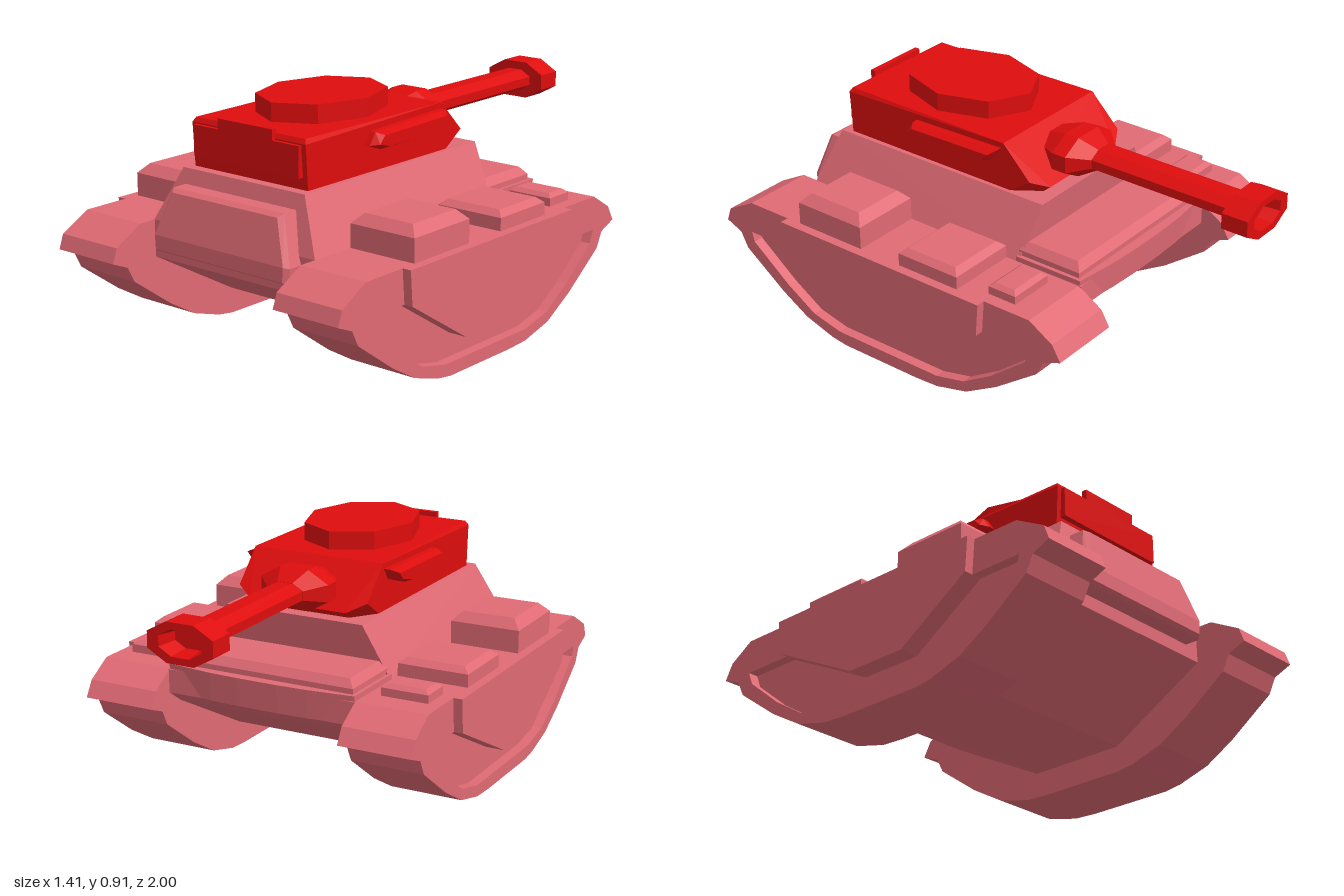
import * as THREE from 'three';
import { ConvexGeometry } from 'three/addons/geometries/ConvexGeometry.js';

export function createModel() {
  const pink = new THREE.MeshStandardMaterial({ color: 0xe06a74 });
  pink.name = 'hull pink';
  const red = new THREE.MeshStandardMaterial({ color: 0xde0d0d });
  red.name = 'turret red';
  const model = new THREE.Group();
  model.name = 'tank';

  // Adds a mesh with faceted normals
  function add(name, geo, mat) {
    const g = geo.index ? geo.toNonIndexed() : geo;
    g.computeVertexNormals();
    const mesh = new THREE.Mesh(g, mat);
    mesh.name = name;
    model.add(mesh);
    return mesh;
  }
  const hull = (pts) => new ConvexGeometry(pts.map((p) => new THREE.Vector3(...p)));
  // Points on both sides of x = 0
  const both = (pts) => pts.flatMap(([x, y, z]) => [[x, y, z], [-x, y, z]]);
  // Block whose rectangular top is inset, with a short straight wall below the bevel
  function block(x0, x1, z0, z1, y0, y1, bevel, wall) {
    const pts = [];
    for (const [y, i] of [[y0, 0], [y0 + (y1 - y0) * wall, 0], [y1, bevel]])
      for (const x of [x0 + i, x1 - i]) for (const z of [z0 + i, z1 - i]) pts.push([x, y, z]);
    return hull(pts);
  }
  // Extrudes a (z, y) side profile between two x positions
  function sideExtrude(profile, xa, xb, hole) {
    const vec = (l) => l.map(([z, y]) => new THREE.Vector2(z, y));
    const shape = new THREE.Shape(vec(profile));
    if (hole) shape.holes.push(new THREE.Path(vec(hole)));
    const lo = Math.min(xa, xb), hi = Math.max(xa, xb);
    const g = new THREE.ExtrudeGeometry(shape, { depth: hi - lo, bevelEnabled: false });
    return g.rotateY(-Math.PI / 2).translate(hi, 0, 0);
  }

  // Tracks, side plates and fender boxes
  const track = [[1, 0.34], [0.98, 0.395], [0.86, 0.46], [-0.48, 0.46], [-0.58, 0.4], [-0.615, 0.34],
    [-0.54, 0.31], [-0.51, 0.25], [-0.33, 0.12], [-0.19, 0.04], [-0.05, 0.005], [0.05, 0], [0.4, 0],
    [0.47, 0.01], [0.6, 0.05], [0.72, 0.12], [0.9, 0.25], [0.93, 0.31]];
  const recess = [[0.87, 0.33], [0.86, 0.29], [0.69, 0.16], [0.56, 0.08], [0.43, 0.05], [-0.05, 0.05],
    [-0.18, 0.08], [-0.31, 0.16], [-0.46, 0.28], [-0.48, 0.33]];
  const plate = [[0.67, 0.46], [0.66, 0.33], [0.36, 0.14], [0.11, 0.14], [-0.27, 0.33], [-0.28, 0.46]];
  for (const s of [1, -1]) {
    const side = s > 0 ? 'left' : 'right';
    add(side + 'TrackCore', sideExtrude(track, s * 0.385, s * 0.63), pink);
    add(side + 'TrackRim', sideExtrude(track, s * 0.63, s * 0.67, recess), pink);
    add(side + 'SidePlate', sideExtrude(plate, s * 0.6, s * 0.705), pink);
    const fenderBox = (name, xa, xb, z0, z1, y1, bevel) => add(side + name,
      block(Math.min(s * xa, s * xb), Math.max(s * xa, s * xb), z0, z1, 0.455, y1, bevel, 0.72), pink);
    fenderBox('FrontFenderBox', 0.388, 0.668, 0.3, 0.605, 0.585, 0.035);
    fenderBox('MiddleFenderBox', 0.388, 0.668, -0.155, 0.115, 0.53, 0.025);
    fenderBox('RearFenderBox', 0.435, 0.62, -0.38, -0.26, 0.505, 0.018);
  }

  // Lower hull and tapered superstructure
  add('lowerHull', sideExtrude([[0.79, 0.46], [0.79, 0.32], [0.4, 0.1], [0, 0.1], [-0.42, 0.32],
    [-0.49, 0.37], [-0.49, 0.46]], -0.387, 0.387), pink);
  add('superstructure', hull(both([[0.29, 0.66, 0.73], [0.285, 0.66, -0.24],
    [0.387, 0.46, 0.79], [0.387, 0.46, -0.21]])), pink);

  // Sloping front panel with bevelled rim
  const panel = (xScale, grow, lift) => both([[0.32, 0.37], [0.325, 0.43], [0.265, 0.605]].map(([x, y]) => {
    const yy = 0.48 + (y - 0.48) * grow;
    return [x * xScale, yy, Math.min(0.865, 0.865 - 0.28 * (yy - 0.46)) + lift];
  }));
  add('frontPanel', hull([...panel(1, 1, -0.11), ...panel(1, 1, -0.018), ...panel(0.95, 0.9, 0)]), pink);

  // Engine deck with bowed rear edge
  const deckEdge = [[0.387, -0.2], [0.385, -0.485], [0.2, -0.505], [0.08, -0.51]];
  add('engineDeck', hull(both(deckEdge.flatMap(([x, z]) => [[x, 0.37, z + 0.01], [x, 0.48, z]]))), pink);
  add('enginePanel', block(-0.37, 0.37, -0.47, -0.2, 0.47, 0.53, 0.025, 0.5), pink);

  // Turret with sloped, corner-cut gun face
  add('turretBody', hull(both([[0.27, 0.66, 0.69], [0.27, 0.825, 0.7], [0.26, 0.842, 0.69],
    [0.27, 0.842, -0.05], [0.27, 0.72, -0.17], [0.2, 0.685, -0.21], [0.2, 0.66, -0.18],
    [0.27, 0.66, -0.08]])), red);
  add('turretBin', block(-0.25, 0.25, 0.68, 0.715, 0.705, 0.82, 0, 1), red);
  add('turretTab', block(-0.13, 0.13, 0.695, 0.715, 0.8, 0.86, 0, 1), red);
  add('roofHatch', new THREE.CylinderGeometry(1, 1, 0.08, 8).scale(0.213, 1, 0.272)
    .translate(0, 0.872, 0.307), red);

  // Slanted pods on the turret sides
  const pod = [[0.39, 0.765], [0.36, 0.81], [-0.04, 0.82], [-0.01, 0.775], [0.08, 0.745], [0.33, 0.742]];
  for (const s of [1, -1]) {
    const pts = pod.flatMap(([z, y]) => [[s * 0.26, y, z], [s * 0.295, y, z],
      [s * 0.325, 0.78 + (y - 0.78) * 0.65, 0.175 + (z - 0.175) * 0.9]]);
    add(s > 0 ? 'leftTurretPod' : 'rightTurretPod', hull(pts), red);
  }

  // Flattened octagonal gun, profiles given as [radius, distance towards the rear]
  function gunPart(name, profile) {
    const pts = profile.map(([r, d]) => new THREE.Vector2(r / Math.cos(Math.PI / 8), d));
    const g = new THREE.LatheGeometry(pts, 8, Math.PI / 8);
    g.rotateX(-Math.PI / 2).scale(1, 0.56, 1).translate(0, 0.755, 0);
    add(name, g, red);
  }
  gunPart('mantlet', [[0, 0.06], [0.09, 0.075], [0.14, 0.17], [0.14, 0.23], [0.075, 0.3], [0, 0.3]]);
  gunPart('barrel', [[0.073, 0.28], [0.073, 0.91]]);
  gunPart('muzzle', [[0, 0.895], [0.13, 0.895], [0.13, 1], [0.085, 1], [0.07, 0.92], [0, 0.92]]);
  return model;
}
